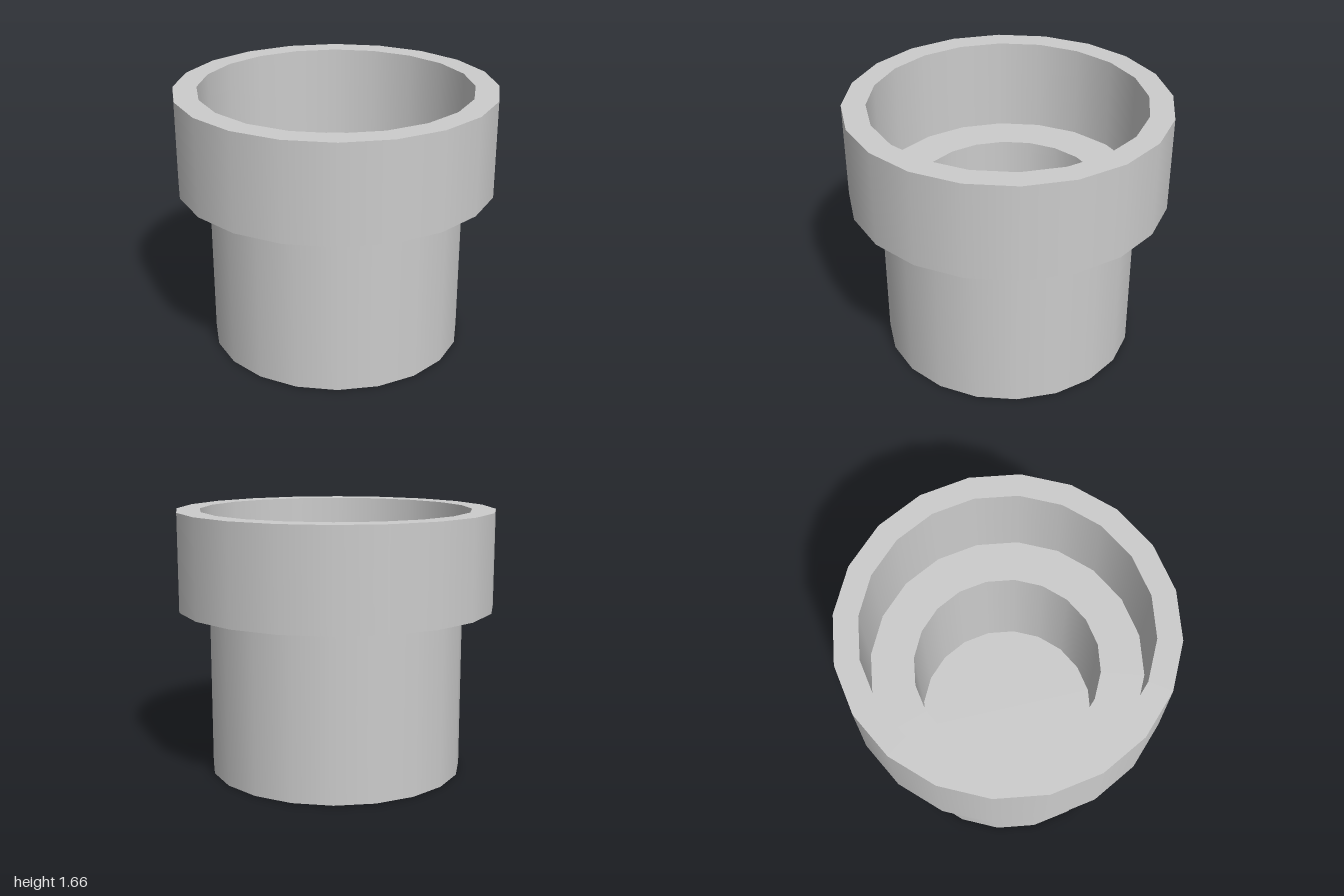
import * as THREE from 'three';
import { mergeGeometries } from 'three/addons/utils/BufferGeometryUtils.js';

const SIDES = 20;

// Revolve each profile segment on its own: smooth around, sharp between segments
function turned(name, profile, material) {
  const pts = profile.map(([r, y]) => new THREE.Vector2(r, y));
  const bands = [];
  for (let i = 0; i < pts.length - 1; i++) {
    bands.push(new THREE.LatheGeometry([pts[i], pts[i + 1]], SIDES));
  }
  const mesh = new THREE.Mesh(mergeGeometries(bands), material);
  mesh.name = name;
  return mesh;
}

export function createModel() {
  const group = new THREE.Group();
  group.name = 'steppedCup';
  const material = new THREE.MeshStandardMaterial({ color: 0xcccccc });

  const top = 1.66, shoulder = 1.05, ledge = 1.06, boreFloor = 0.2;
  const rimR = 1, bodyR = 0.805, cupR = 0.853, boreR = 0.583;

  // Closed base and outer wall of the narrow body
  group.add(turned('body', [[0, 0], [bodyR, 0], [bodyR, shoulder]], material));

  // Wide collar: underside, outer wall, rim, inner wall and inner ledge
  group.add(turned('collar', [
    [bodyR, shoulder], [rimR, shoulder], [rimR, top],
    [cupR, top], [cupR, ledge], [boreR, ledge],
  ], material));

  // Blind bore sunk into the body
  group.add(turned('bore', [[boreR, ledge], [boreR, boreFloor], [0, boreFloor]], material));

  return group;
}
